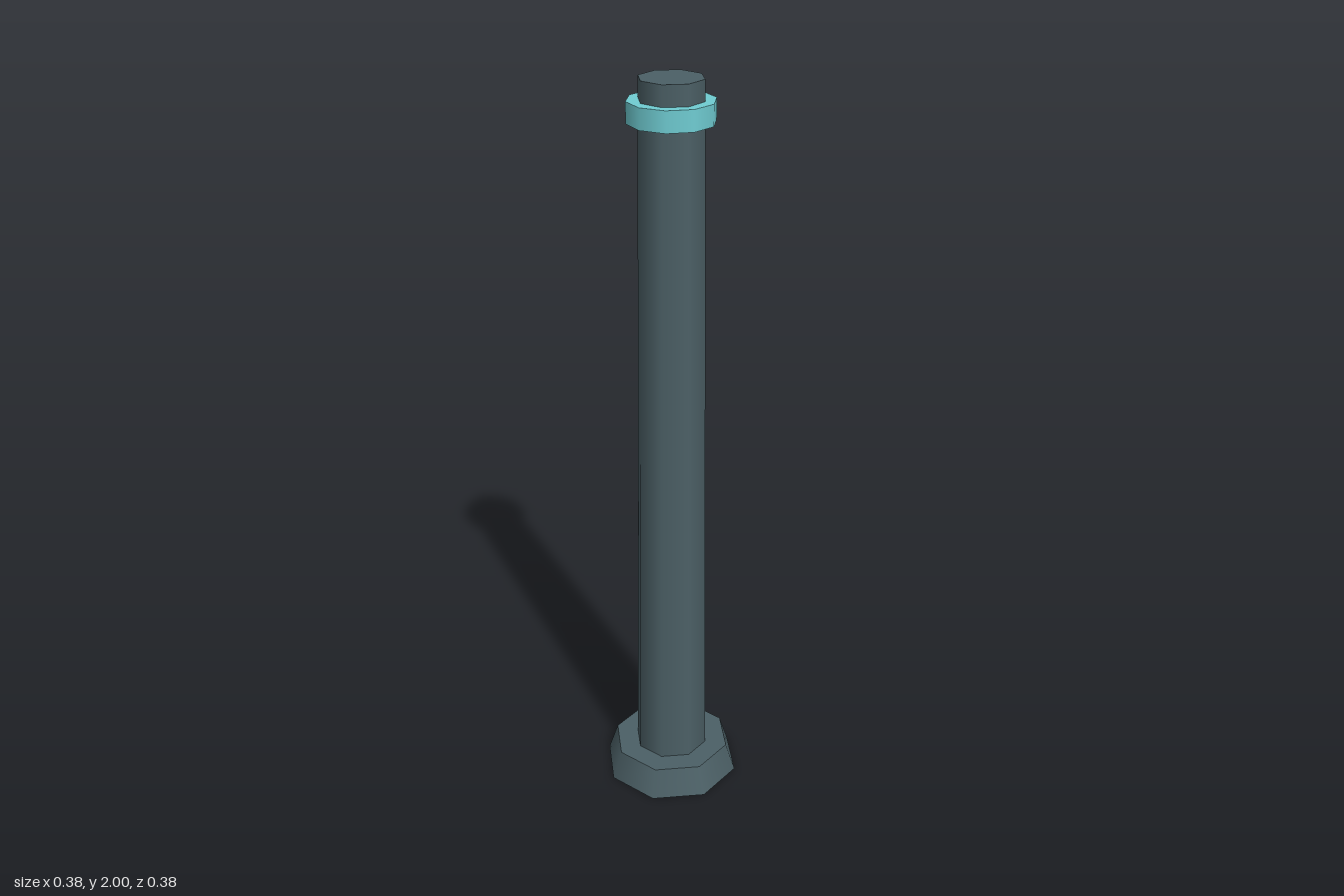
import * as THREE from 'three';

export function createModel() {
  const model = new THREE.Group();
  const slate = new THREE.MeshStandardMaterial({ color: 0x4c6066 });
  const aqua = new THREE.MeshStandardMaterial({ color: 0x70cdd3 });

  // Upright tapered prism between heights y0 and y1
  function addPrism(name, rTop, rBottom, y0, y1, sides, material) {
    const mesh = new THREE.Mesh(
      new THREE.CylinderGeometry(rTop, rBottom, y1 - y0, sides), material);
    mesh.name = name;
    mesh.position.y = (y0 + y1) / 2;
    model.add(mesh);
  }

  // Flared octagonal foot
  addPrism('base', 0.165, 0.192, 0, 0.082, 8, slate);
  // Tall tapering octagonal post
  addPrism('shaft', 0.082, 0.103, 0.06, 2, 8, slate);
  // Ten-sided band near the top
  addPrism('collar', 0.11, 0.11, 1.895, 1.948, 10, aqua);

  return model;
}
